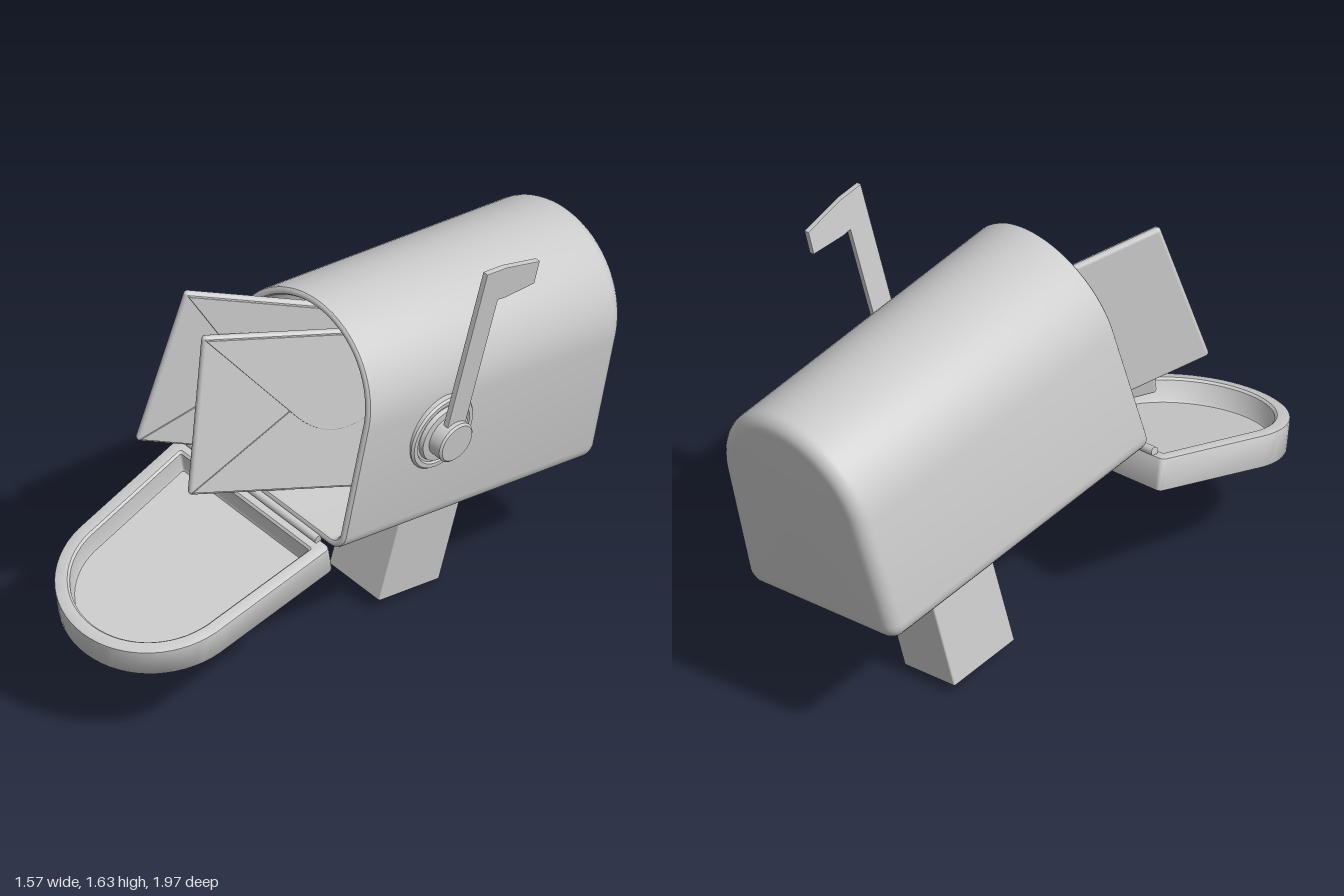
import * as THREE from 'three';
import { toCreasedNormals } from 'three/addons/utils/BufferGeometryUtils.js';
import { RoundedBoxGeometry } from 'three/addons/geometries/RoundedBoxGeometry.js';

const grey = new THREE.MeshStandardMaterial({ color: 0xcccccc });
const V = (x, y, z) => new THREE.Vector3(x, y, z);

function add(parent, name, geometry, x = 0, y = 0, z = 0) {
  const mesh = new THREE.Mesh(geometry, grey);
  mesh.name = name;
  mesh.position.set(x, y, z);
  parent.add(mesh);
  return mesh;
}

// Orient a group by its x and (approximate) y axes
function orient(group, xAxis, yAxis) {
  const x = xAxis.clone().normalize();
  const z = x.clone().cross(yAxis).normalize();
  const y = z.clone().cross(x);
  group.quaternion.setFromRotationMatrix(new THREE.Matrix4().makeBasis(x, y, z));
}

// Arched outline: slightly tapered sides, round top, rounded bottom corners
function archOutline(inset, cornerRadius) {
  const wb = 0.37 - inset, r = 0.345 - inset;
  const c = Math.max(cornerRadius - inset, 0.008);
  const points = [];
  const arc = (cx, cy, rad, from, to, n) => {
    for (let i = 0; i <= n; i++) {
      const a = from + ((to - from) * i) / n;
      points.push([cx + rad * Math.cos(a), cy + rad * Math.sin(a)]);
    }
  };
  arc(wb - c, inset + c, c, -Math.PI / 2, 0, 5);
  arc(0, 0.48, r, 0, Math.PI, 32);
  arc(c - wb, inset + c, c, Math.PI, 1.5 * Math.PI, 5);
  return points;
}

// Loft arched outlines through [inset, z] steps, closed to a point at both ends
function archLoft(steps, cornerRadius) {
  const rings = steps.map(([inset, z]) => archOutline(inset, cornerRadius).map(([x, y]) => [x, y, z]));
  const n = rings[0].length;
  const cap = (z) => Array(n).fill([0, 0.42, z]);
  rings.unshift(cap(steps[0][1]));
  rings.push(cap(steps[steps.length - 1][1]));
  const pos = [];
  for (let k = 0; k < rings.length - 1; k++) {
    for (let j = 0; j < n; j++) {
      const a = rings[k][j], b = rings[k][(j + 1) % n];
      const c = rings[k + 1][j], d = rings[k + 1][(j + 1) % n];
      if (k > 0) pos.push(...a, ...c, ...b);
      if (k < rings.length - 2) pos.push(...b, ...c, ...d);
    }
  }
  const g = new THREE.BufferGeometry();
  g.setAttribute('position', new THREE.Float32BufferAttribute(pos, 3));
  return toCreasedNormals(g, 0.6);
}

function extrude(shape, depth, bevel) {
  return new THREE.ExtrudeGeometry(shape, {
    depth, bevelEnabled: bevel > 0, bevelSize: bevel, bevelThickness: bevel, bevelSegments: 2, curveSegments: 12,
  });
}

// Envelope whose outer lower corner, length direction and height direction are given
function makeEnvelope(name, corner, along, up) {
  const L = 0.98, H = 0.6, T = 0.03;
  const env = new THREE.Group();
  env.name = name;
  orient(env, along, up);
  env.position.copy(V(L / 2, H / 2, 0).applyQuaternion(env.quaternion).add(corner));
  add(env, 'envelopeBody', new RoundedBoxGeometry(L, H, T, 3, 0.014));

  // Lower pocket fold
  const w = L / 2 - 0.012, h = H / 2 - 0.012;
  const pocket = new THREE.Shape();
  pocket.moveTo(-w, -h);
  pocket.lineTo(w, -h);
  pocket.lineTo(0.06, 0.09);
  pocket.lineTo(-0.06, 0.09);
  add(env, 'pocketFold', extrude(pocket, 0.004, 0.002), 0, 0, T / 2 - 0.002);

  // Closing flap with a rounded tip
  const flap = new THREE.Shape();
  flap.moveTo(w, h);
  flap.lineTo(-w, h);
  flap.lineTo(-0.13, -0.015);
  flap.quadraticCurveTo(0, -0.125, 0.13, -0.015);
  add(env, 'closingFlap', extrude(flap, 0.008, 0.003), 0, 0, T / 2 - 0.002);
  return env;
}

export function createModel() {
  const root = new THREE.Group();
  root.name = 'mailbox';
  // Whole mailbox leans and turns as one
  const box = new THREE.Group();
  box.name = 'tiltedMailbox';
  orient(box, V(0.873, -0.139, 0.466), V(0.2, 0.976, -0.083));
  root.add(box);

  // Hollow body: inner wall, rounded mouth rim, outer wall, rounded back edge
  const back = -0.82, front = 0.43, r = 0.055;
  const shell = [[0.032, back + 0.04], [0.032, front - 0.012], [0.026, front - 0.003], [0.018, front],
    [0.01, front - 0.001], [0.003, front - 0.006], [0, front - 0.015]];
  for (let i = 0; i <= 6; i++) {
    const a = (i / 6) * Math.PI / 2;
    shell.push([r * (1 - Math.cos(a)), back + r * (1 - Math.sin(a))]);
  }
  add(box, 'body', archLoft(shell, 0.065), -0.09, 0.61, 0);

  // Post
  add(box, 'post', new RoundedBoxGeometry(0.25, 0.56, 0.295, 2, 0.006), -0.075, 0.365, -0.295);

  // Open door: shallow arched tray, hinged at the mouth
  const tilt = THREE.MathUtils.degToRad(25.5);
  const door = new THREE.Group();
  door.name = 'door';
  orient(door, V(-1, 0, 0), V(0, -Math.sin(tilt), Math.cos(tilt)));
  door.position.set(-0.15, 0.6, 0.42);
  box.add(door);
  add(door, 'doorTray', archLoft([[0.062, -0.085], [0.058, -0.075], [0.053, -0.008], [0.045, 0], [0.008, 0],
    [0.002, -0.003], [0, -0.01], [0, -0.112], [0.003, -0.118], [0.008, -0.12]], 0.02));
  const hinge = add(box, 'hingeBar', new THREE.CylinderGeometry(0.016, 0.016, 0.64, 16), -0.15, 0.606, 0.432);
  hinge.rotation.z = Math.PI / 2;

  // Flag pivot: stepped round plate and knob
  const steps = [[0.145, 0], [0.145, 0.024], [0.138, 0.032], [0.122, 0.032], [0.117, 0.024], [0.108, 0.024],
    [0.104, 0.04], [0.088, 0.042], [0.078, 0.042], [0.078, 0.092], [0.07, 0.099], [0, 0.099]];
  const lathe = new THREE.LatheGeometry(steps.map(([x, y]) => new THREE.Vector2(x, y)), 40);
  const pivot = add(box, 'flagPivot', toCreasedNormals(lathe, 0.5), 0.246, 0.994, 0.045);
  pivot.rotation.z = -Math.PI / 2;

  // Flag: upright arm with a small pennant toward the back
  const flag = new THREE.Shape([[-0.086, 1.0], [-0.003, 1.0], [-0.003, 1.57], [0.035, 1.567], [0.172, 1.582],
    [0.17, 1.67], [0.0, 1.697], [-0.09, 1.697]].map(([x, y]) => new THREE.Vector2(x, y)));
  const flagMesh = add(box, 'flag', extrude(flag, 0.016, 0.003), 0.304, 0, 0);
  flagMesh.rotation.y = Math.PI / 2;

  // Envelopes sticking out of the mouth
  box.add(makeEnvelope('frontEnvelope', V(-0.235, 0.615, 0.675), V(0.49, 0.095, -0.866), V(-0.123, 0.59, 0.01)));
  box.add(makeEnvelope('rearEnvelope', V(-0.421, 0.764, 0.795), V(0.45, -0.092, -0.888), V(-0.006, 0.594, -0.071)));

  return root;
}
